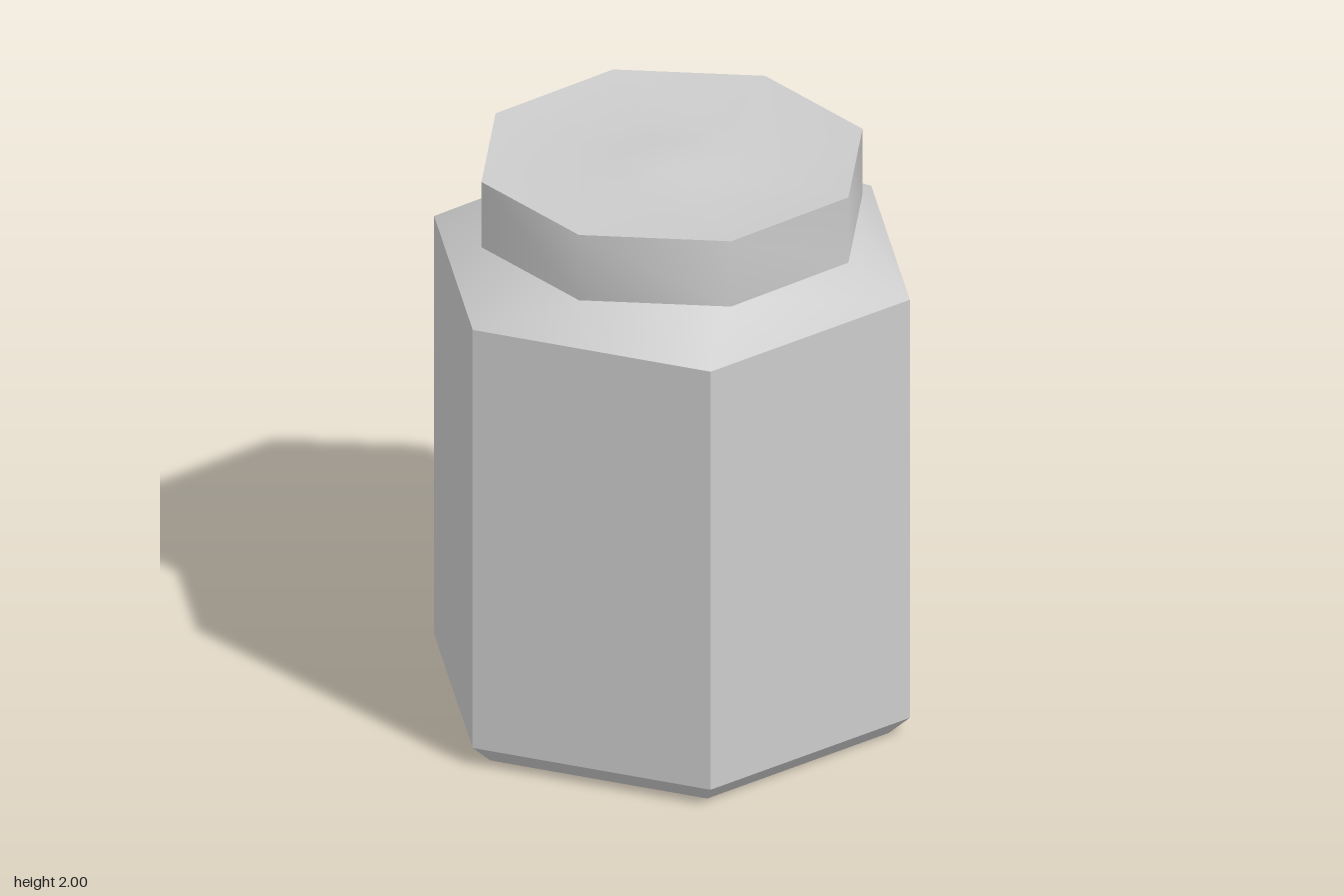
import * as THREE from 'three';
import { toCreasedNormals } from 'three/addons/utils/BufferGeometryUtils.js';
import { ConvexGeometry } from 'three/addons/geometries/ConvexGeometry.js';

const rad = THREE.MathUtils.degToRad;
const TWIST = 6.5; // rotation of the eight-sided parts, in degrees

// Corners of a regular polygon in the x-z plane, as Vector2(x, z)
function polygon(sides, radius, turn = 0) {
  return Array.from({ length: sides }, (_, i) => {
    const a = rad(turn + (i * 360) / sides);
    return new THREE.Vector2(radius * Math.cos(a), radius * Math.sin(a));
  });
}

// Faceted lathe whose corners line up with polygon()
function facetedLathe(profile, sides, turn, crease) {
  const points = profile.map(([r, y]) => new THREE.Vector2(r, y));
  const geometry = new THREE.LatheGeometry(points, sides, rad(90 - turn));
  return toCreasedNormals(geometry, rad(crease));
}

// Side surface joining two polygons with different numbers of corners
function joinRings(lower, y0, upper, y1) {
  const at = (ring, y) => ring.map((p) => new THREE.Vector3(p.x, y, p.y));
  const hull = new ConvexGeometry([...at(lower, y0), ...at(upper, y1)]);
  const pos = hull.getAttribute('position');
  const kept = [];
  for (let i = 0; i < pos.count; i += 3) {
    const ys = [0, 1, 2].map((k) => pos.getY(i + k));
    if (Math.max(...ys) - Math.min(...ys) < 1e-4) continue; // leave the ends open
    for (let k = 0; k < 3; k++) kept.push(pos.getX(i + k), pos.getY(i + k), pos.getZ(i + k));
  }
  const geometry = new THREE.BufferGeometry();
  geometry.setAttribute('position', new THREE.Float32BufferAttribute(kept, 3));
  return toCreasedNormals(geometry, rad(50));
}

export function createModel() {
  const jar = new THREE.Group();
  jar.name = 'jar';
  const material = new THREE.MeshStandardMaterial({ color: 0xcccccc, side: THREE.DoubleSide });

  function add(name, geometry) {
    const mesh = new THREE.Mesh(geometry, material);
    mesh.name = name;
    jar.add(mesh);
  }

  // Six-sided body with a chamfered foot
  add('body', facetedLathe([[0.77, 0], [0.845, 0.07], [0.845, 1.62]], 6, 0, 30));

  // Flat base with an eight-sided opening for the dent
  const base = new THREE.Shape(polygon(6, 0.77));
  base.holes.push(new THREE.Path(polygon(8, 0.58, TWIST)));
  add('base', new THREE.ShapeGeometry(base).rotateX(Math.PI / 2));
  add('baseDent', facetedLathe([[0, 0.1], [0.3, 0.1], [0.58, 0]], 8, TWIST, 10));

  // Shoulder blending six sides into eight, then the short neck
  add('shoulder', joinRings(polygon(6, 0.845), 1.62, polygon(8, 0.6, TWIST), 1.742));
  add('neck', facetedLathe([[0.6, 1.742], [0.6, 1.76]], 8, TWIST, 50));

  // Overhanging lid, slightly dished with a low dome in the middle
  add('lid', facetedLathe([
    [0, 1.758], [0.66, 1.758], [0.66, 2], [0.31, 1.975], [0.14, 1.995], [0, 2],
  ], 8, TWIST, 50));

  return jar;
}
